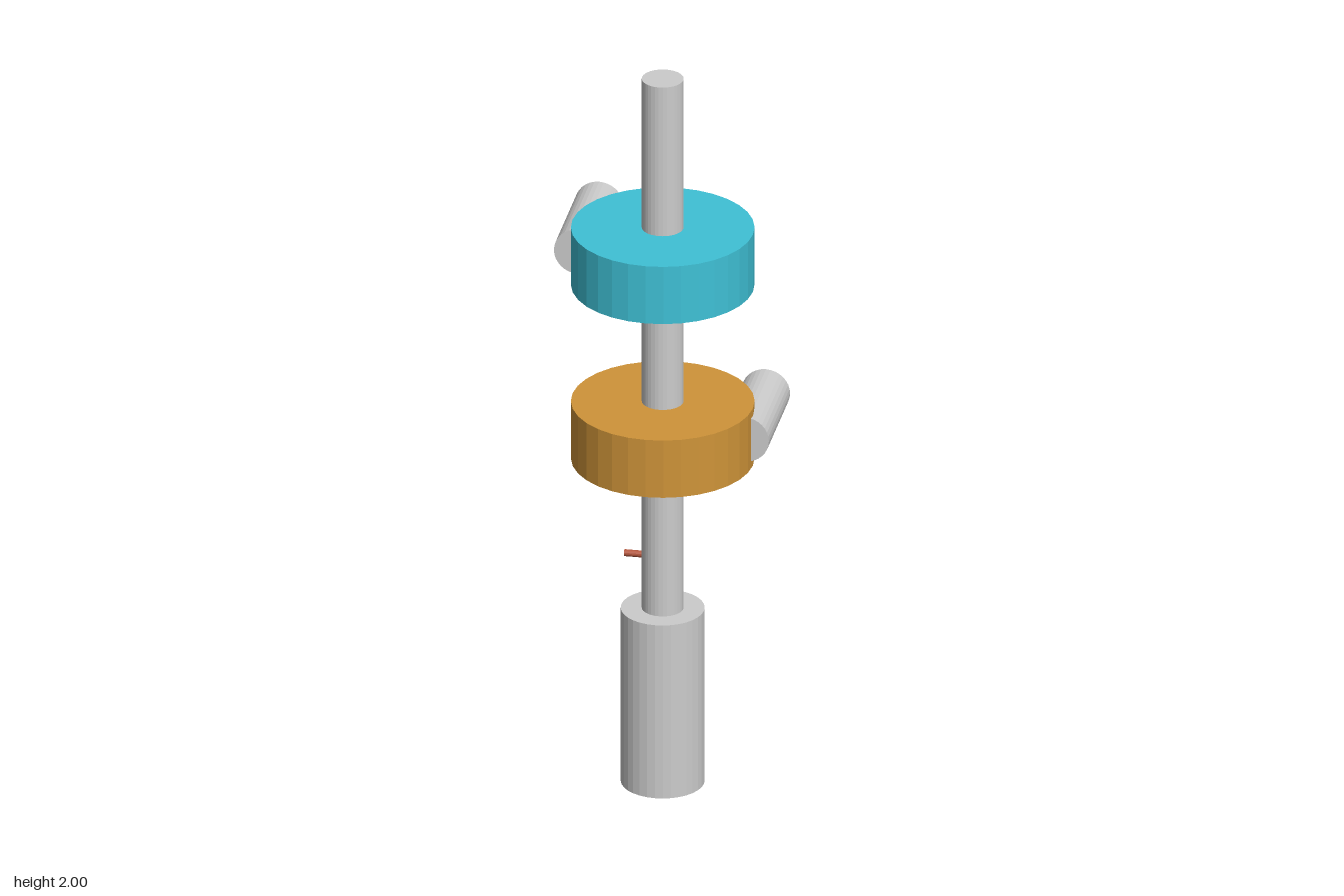
import * as THREE from 'three';

const paint = (name, color) => {
  const m = new THREE.MeshStandardMaterial({ color, flatShading: true });
  m.name = name;
  return m;
};

export function createModel() {
  const steel = paint('steel grey', 0xcccccc);
  const teal = paint('teal', 0x3fc1d6);
  const orange = paint('orange', 0xcf9439);
  const copper = paint('copper red', 0xb5583f);

  const group = new THREE.Group();
  const axisZ = 0.016; // the shaft axis sits slightly forward

  const cylinder = (name, radius, length, material, x, y, z, sides = 32) => {
    const mesh = new THREE.Mesh(new THREE.CylinderGeometry(radius, radius, length, sides), material);
    mesh.name = name;
    mesh.position.set(x, y, z);
    group.add(mesh);
    return mesh;
  };

  // Upright shaft and its thick base
  cylinder('base', 0.108, 0.493, steel, 0, 0.2465, axisZ);
  cylinder('shaft', 0.054, 1.507, steel, 0, 1.2465, axisZ);

  // Each disc carries a horizontal rod on one side, pointing backwards
  for (const [name, y, side, material] of [['lower', 1.0, 1, orange], ['upper', 1.495, -1, teal]]) {
    cylinder(name + 'Disc', 0.236, 0.163, material, 0, y, axisZ);
    const rod = cylinder(name + 'Rod', 0.063, 0.29, steel, side * 0.218, y, -0.111);
    rod.rotation.x = Math.PI / 2;
  }

  // Small sideways peg low on the shaft
  const peg = cylinder('peg', 0.009, 0.06, copper, -0.07, 0.64, axisZ, 16);
  peg.rotation.z = Math.PI / 2;

  return group;
}
